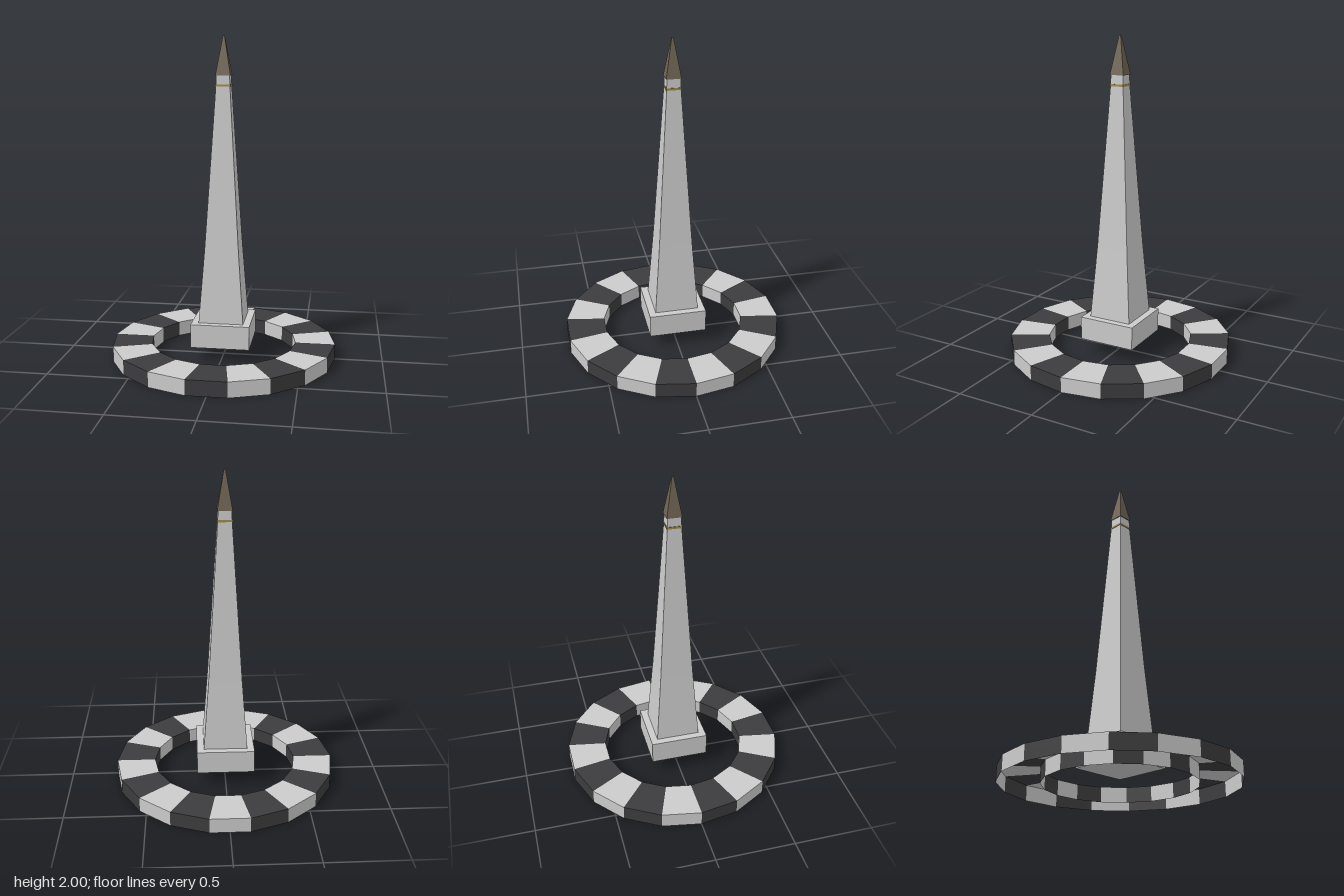
import * as THREE from 'three';

const material = (color) => new THREE.MeshStandardMaterial({
  color, flatShading: true, side: THREE.DoubleSide,
});

export function createModel() {
  const model = new THREE.Group();
  model.name = 'obelisk';
  const stone = material(0xc0c0bc);
  const dark = material(0x3c3c3e);
  const bronze = material(0x6e6352);
  const gold = material(0xa08c48);

  // Square block or tapered frustum, given half widths at bottom and top
  function frustum(name, y0, y1, half0, half1, mat, open = false) {
    const geometry = new THREE.CylinderGeometry(
      half1 * Math.SQRT2, half0 * Math.SQRT2, y1 - y0, 4, 1, open);
    geometry.rotateY(Math.PI / 4);
    geometry.translate(0, (y0 + y1) / 2, 0);
    const mesh = new THREE.Mesh(geometry, mat);
    mesh.name = name;
    model.add(mesh);
  }

  frustum('plinth', 0.095, 0.242, 0.183, 0.183, stone);
  frustum('lowerShaft', 0.242, 0.7, 0.139, 0.105, stone, true);
  frustum('upperShaft', 0.7, 1.7, 0.105, 0.043, stone, true);
  frustum('shaftNeck', 1.7, 1.766, 0.043, 0.041, stone, true);
  frustum('goldBand', 1.699, 1.712, 0.046, 0.046, gold);
  frustum('pointedCap', 1.766, 2, 0.046, 0.005, bronze);

  // Ring of alternating dark and light paving wedges, hollow underneath
  const ring = new THREE.Group();
  ring.name = 'pavingRing';
  const count = 18, outer = 0.705, inner = 0.457, height = 0.095;
  const step = (Math.PI * 2) / count;
  const profile = [
    new THREE.Vector2(outer, 0),
    new THREE.Vector2(outer, height),
    new THREE.Vector2(inner, height),
    new THREE.Vector2(inner, 0),
  ];
  const wedge = new THREE.LatheGeometry(profile, 1, Math.PI / 2 - step, step);
  for (let i = 0; i < count; i++) {
    const mesh = new THREE.Mesh(wedge, i % 2 ? stone : dark);
    mesh.name = i % 2 ? 'lightPaver' : 'darkPaver';
    mesh.rotation.y = -i * step;
    ring.add(mesh);
  }
  model.add(ring);
  return model;
}
